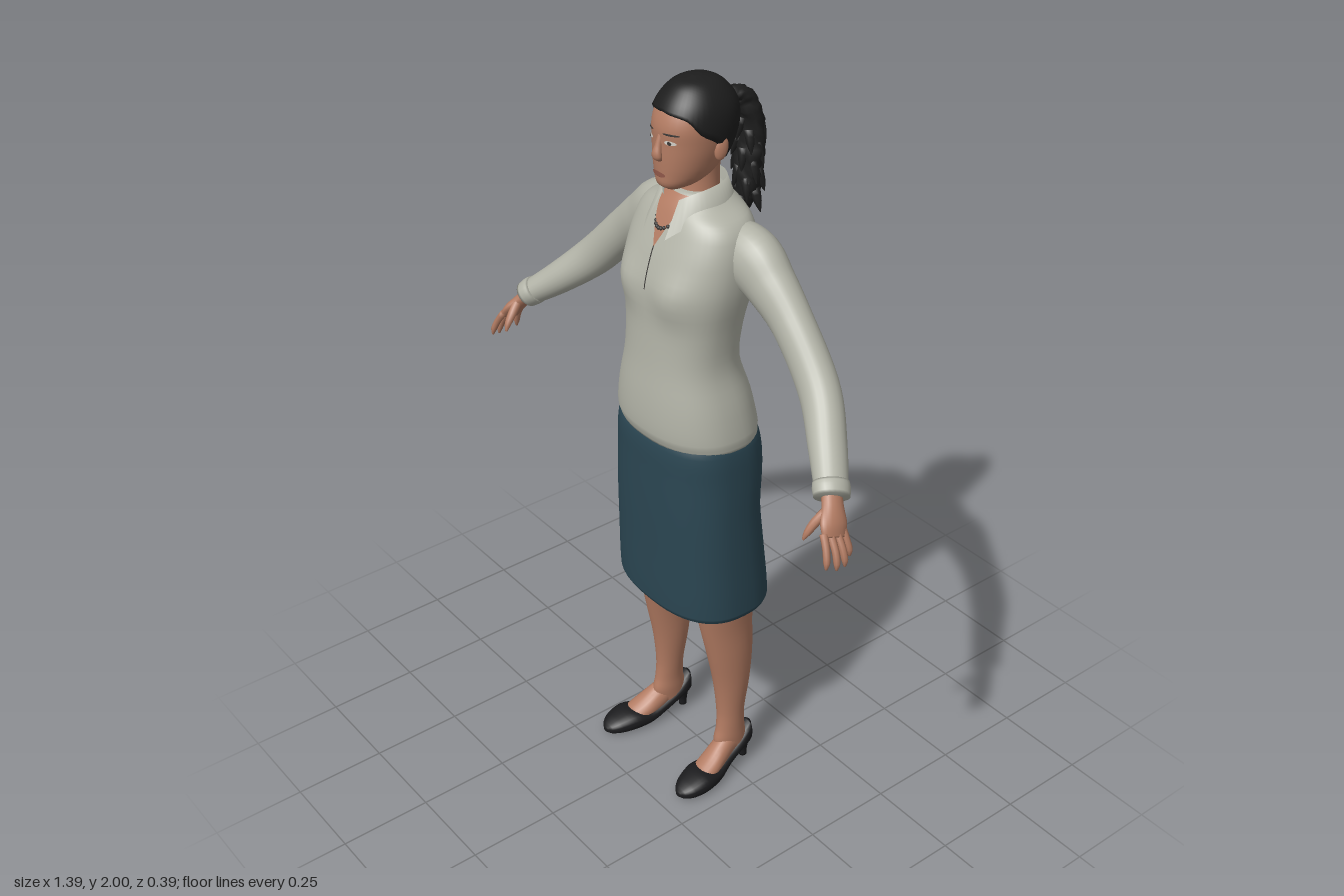
import * as THREE from 'three';

const mat = (name, color, side = THREE.FrontSide) => {
  const m = new THREE.MeshStandardMaterial({ color, side });
  m.name = name;
  return m;
};

// Smooth lookup in a table whose first column is an ascending key
function at(rows, k) {
  let i = 0;
  while (i < rows.length - 2 && k > rows[i + 1][0]) i++;
  const a = rows[i], b = rows[i + 1], h = b[0] - a[0], t = (k - a[0]) / h;
  const p = rows[Math.max(i - 1, 0)], q = rows[Math.min(i + 2, rows.length - 1)];
  return a.map((v, c) => {
    if (!c) return k;
    const m0 = (b[c] - p[c]) / (b[0] - p[0]) * h, m1 = (q[c] - v) / (q[0] - a[0]) * h;
    const t2 = t * t, t3 = t2 * t;
    return (2 * t3 - 3 * t2 + 1) * v + (t3 - 2 * t2 + t) * m0 + (3 * t2 - 2 * t3) * b[c] + (t3 - t2) * m1;
  });
}

// Skin over closed rings of points, turned to face outward
function loft(rings, capped = true) {
  const n = rings[0].length, pts = rings.flat(), idx = [];
  for (let r = 0; r < rings.length - 1; r++) for (let i = 0; i < n; i++) {
    const a = r * n + i, b = r * n + (i + 1) % n;
    idx.push(a, b, a + n, b, b + n, a + n);
  }
  const mid = (list) => list.reduce((s, p) => s.add(p), new THREE.Vector3()).divideScalar(list.length);
  const centre = mid(pts);
  if (capped) [0, rings.length - 1].forEach((r) => {
    const c = pts.push(mid(rings[r])) - 1;
    for (let i = 0; i < n; i++) {
      const a = r * n + i, b = r * n + (i + 1) % n;
      r ? idx.push(a, b, c) : idx.push(b, a, c);
    }
  });
  let volume = 0;
  for (let i = 0; i < idx.length; i += 3) {
    const [a, b, c] = [0, 1, 2].map((j) => pts[idx[i + j]].clone().sub(centre));
    volume += a.dot(b.cross(c));
  }
  if (volume < 0) idx.reverse();
  const g = new THREE.BufferGeometry().setFromPoints(pts);
  g.setIndex(idx);
  g.computeVertexNormals();
  return g;
}

// Point on a superellipse section [key, centreX, halfWidth, front, back]
function onSection([k, cx, rx, f, b], angle, n, grow = 0) {
  const pw = (v) => Math.sign(v) * Math.abs(v) ** (2 / n);
  return new THREE.Vector3(cx + (rx + grow) * pw(Math.sin(angle)), k,
    (f + b) / 2 + ((f - b) / 2 + grow) * pw(Math.cos(angle)));
}

// Stack of sections along y, or along z when lying
function body(rows, { n = 2, seg = 36, sub = 4, capped = true, lying = false } = {}) {
  const rings = [];
  for (let i = 0; i < (rows.length - 1) * sub + 1; i++) {
    const r = Math.min(Math.floor(i / sub), rows.length - 2), t = i / sub - r;
    const s = at(rows, rows[r][0] + (rows[r + 1][0] - rows[r][0]) * t);
    rings.push(Array.from({ length: seg }, (_, j) => {
      const p = onSection(s, j / seg * Math.PI * 2, n);
      return lying ? new THREE.Vector3(p.x, p.z, p.y) : p;
    }));
  }
  return loft(rings, capped);
}

// Tapered tube through [x, y, z, radius along ref, radius across]
function limb(pts, { seg = 16, steps = 24, ref = [0, 0, 1], rough = () => 1 } = {}) {
  const curve = new THREE.CatmullRomCurve3(pts.map((p) => new THREE.Vector3(p[0], p[1], p[2])));
  const radii = pts.map((p, i) => [i, p[3], p[4] ?? p[3]]), rings = [];
  for (let i = 0; i <= steps; i++) {
    const t = i / steps, c = curve.getPoint(t), T = curve.getTangent(t);
    const B = new THREE.Vector3(...ref).addScaledVector(T, -T.dot(new THREE.Vector3(...ref))).normalize();
    const N = T.clone().cross(B), [, ra, rb] = at(radii, t * (pts.length - 1));
    rings.push(Array.from({ length: seg }, (_, j) => {
      const a = j / seg * Math.PI * 2, k = rough(i, j);
      return c.clone().addScaledVector(B, ra * k * Math.cos(a)).addScaledVector(N, rb * k * Math.sin(a));
    }));
  }
  return loft(rings);
}

// Thin plate lying on the front of a body; half(v) gives its half width
function plate(rows, n, cx, y0, y1, half, lift = 0.003) {
  const g = new THREE.PlaneGeometry(1, 1, 12, 16), p = g.attributes.position;
  for (let i = 0; i < p.count; i++) {
    const v = p.getY(i) + 0.5, y = y0 + (y1 - y0) * v, x = cx + 2 * p.getX(i) * half(v);
    const [, , rx, f, b] = at(rows, y);
    p.setXYZ(i, x, y, (f + b) / 2 + (f - b) / 2 * Math.max(0, 1 - Math.abs(x / rx) ** n) ** (1 / n) + lift);
  }
  g.computeVertexNormals();
  return g;
}

const TORSO = [[1.09, 0, .197, .168, -.115], [1.12, 0, .198, .177, -.115], [1.2, 0, .183, .176, -.1],
  [1.3, 0, .157, .166, -.072], [1.4, 0, .16, .16, -.08], [1.5, 0, .176, .157, -.103], [1.58, 0, .178, .137, -.112],
  [1.64, 0, .168, .112, -.108], [1.675, 0, .145, .095, -.1], [1.7, 0, .1, .08, -.088], [1.73, 0, .06, .055, -.06]];
const SKIRT = [[.575, 0, .214, .16, -.138], [.59, 0, .219, .167, -.144], [.75, 0, .215, .17, -.127],
  [.88, 0, .21, .172, -.115], [1, 0, .205, .172, -.124], [1.08, 0, .199, .17, -.116], [1.12, 0, .185, .155, -.1]];
const HEAD = [[1.742, 0, .02, .09, .04], [1.755, 0, .042, .108, 0], [1.78, 0, .061, .111, -.04],
  [1.82, 0, .075, .112, -.07], [1.86, 0, .083, .111, -.088], [1.9, 0, .086, .11, -.095], [1.94, 0, .079, .094, -.089],
  [1.97, 0, .059, .068, -.066], [1.988, 0, .034, .04, -.038], [1.995, 0, .003, .005, -.002]];

export function createModel() {
  const model = new THREE.Group();
  const skin = mat('skin', 0xb27b62), knit = mat('knit', 0xb2b3a7, THREE.DoubleSide);
  const blue = mat('skirtBlue', 0x2b4652, THREE.DoubleSide), hair = mat('hairBlack', 0x1d1d1d);
  const black = mat('shoeBlack', 0x1b1b1d), lip = mat('lip', 0x935a4b), white = mat('eyeWhite', 0xd8d4cc);
  const dark = mat('darkDetail', 0x3a3836);
  const add = (name, geometry, material) => {
    const m = new THREE.Mesh(geometry, material);
    m.name = name;
    model.add(m);
    return m;
  };

  // Sweater with a gentle bust
  const torso = body(TORSO, { n: 2.3, seg: 48 }), tp = torso.attributes.position;
  for (let i = 0; i < tp.count; i++) {
    const x = Math.abs(tp.getX(i)) - .085, y = tp.getY(i) - 1.5;
    if (tp.getZ(i) > .03) tp.setZ(i, tp.getZ(i) + .016 * Math.exp(-(x * x + y * y) / .003));
  }
  torso.computeVertexNormals();
  add('sweater', torso, knit);
  add('neckOpening', plate(TORSO, 2.3, 0, 1.605, 1.725, (v) => .001 + .05 * v), skin);
  add('placket', plate(TORSO, 2.3, 0, 1.5, 1.607, () => .0018), dark);

  // Folded collar: inner base, top fold, outer edge
  const collar = new THREE.PlaneGeometry(1, 1, 40, 2), cp = collar.attributes.position;
  for (let i = 0; i < cp.count; i++) {
    const a = cp.getX(i) * 5.5, row = Math.floor(i / 41), w = Math.abs(cp.getX(i) * 2) ** 4;
    const r = [.064, .074, .093][row], y = [1.7, 1.755 - .035 * w, 1.7 - .065 * w][row];
    cp.setXYZ(i, Math.sin(a) * r * (1 + .15 * w), y, .004 - Math.cos(a) * r * (1 + [.12, .1, .45][row] * w));
  }
  collar.computeVertexNormals();
  add('collar', collar, knit);

  // Necklace
  for (let i = -5; i <= 5; i++) {
    const bead = add('necklaceBead', new THREE.SphereGeometry(.005, 8, 6), dark);
    bead.position.set(i * .0075, 1.648 + .0009 * i * i, .115 - .0012 * i * i);
  }

  // Skirt, neck and head
  add('skirt', body(SKIRT, { n: 2.5, seg: 48, capped: false }), blue);
  add('neck', body([[1.66, 0, .058, .07, -.06], [1.72, 0, .052, .05, -.056], [1.77, 0, .05, .045, -.055],
    [1.83, 0, .055, .05, -.06]]), skin);
  add('head', body(HEAD, { n: 2.15 }), skin);

  // Hair cap drawn down to the hairline
  const line = [[0, 1.932], [.8, 1.92], [1.2, 1.885], [1.6, 1.858], [2, 1.81], [2.5, 1.785], [3.15, 1.78]];
  add('hairCap', loft(Array.from({ length: 20 }, (_, i) => Array.from({ length: 48 }, (_, j) => {
    const a = j / 48 * Math.PI * 2, low = at(line, Math.min(a, Math.PI * 2 - a))[1];
    const y = low + (1.995 - low) * Math.sin(i / 19 * Math.PI / 2);
    const p = onSection(at(HEAD, y), a, 2.15, i ? .007 : -.002);
    p.y += .005 * Math.max(0, (y - 1.94) / .055);
    return p;
  }))), hair);

  // Ponytail with ragged locks
  let seed = 7;
  const rnd = () => (seed = seed * 16807 % 2147483647) / 2147483647;
  add('ponytail', limb([[0, 1.91, -.085, .02], [0, 1.925, -.12, .024, .02], [0, 1.88, -.153, .036, .03],
    [0, 1.8, -.16, .042, .03], [0, 1.72, -.152, .04, .028], [0, 1.66, -.15, .03, .022], [0, 1.62, -.155, .008]],
  { steps: 30, ref: [1, 0, 0], rough: () => .85 + .3 * rnd() }), hair);
  for (let i = 0; i < 22; i++) {
    const a = i * 2.4, y = 1.86 - i * .0095, x = Math.sin(a) * .036, z = -.155 + Math.cos(a) * .022;
    add('lock', limb([[x * .7, y, z, .014], [x * 1.05, y - .03, z + Math.cos(a) * .008, .01],
      [x * 1.35, y - .055, z + Math.cos(a) * .014, .001]], { seg: 6, steps: 4, ref: [1, 0, 0] }), hair);
  }

  // Face
  add('nose', limb([[0, 1.885, .103, .007], [0, 1.855, .112, .009], [0, 1.832, .117, .014, .011],
    [0, 1.821, .109, .011, .007]], { ref: [1, 0, 0], steps: 12 }), skin);
  const oval = (w) => (v) => w * Math.sqrt(Math.max(0, 1 - (2 * v - 1) ** 2));
  add('lips', plate(HEAD, 2.15, 0, 1.779, 1.793, oval(.023), .004), lip);
  for (const s of [1, -1]) {
    const side = s > 0 ? 'left' : 'right';
    add(side + 'Eye', plate(HEAD, 2.15, s * .035, 1.864, 1.875, oval(.014)), white);
    add(side + 'Iris', plate(HEAD, 2.15, s * .035, 1.865, 1.874, oval(.005), .005), dark);
    add(side + 'Brow', plate(HEAD, 2.15, s * .036, 1.887, 1.892, oval(.02)), dark);
    const ear = add(side + 'Ear', new THREE.SphereGeometry(1, 14, 10), skin);
    ear.scale.set(.009, .03, .017);
    ear.position.set(s * .083, 1.845, -.005);
    ear.rotation.set(-.2, s * -.3, 0);

    // Sleeve and cuff
    const arm = (pts, o) => limb(pts.map(([x, ...r]) => [x * s, ...r]), o);
    add(side + 'Sleeve', arm([[.08, 1.6, -.025, .06, .07], [.17, 1.585, -.033, .066, .083], [.24, 1.543, -.033, .058, .068],
      [.32, 1.48, -.03, .05, .056], [.44, 1.36, -.012, .049, .053], [.53, 1.275, .04, .046, .044],
      [.605, 1.212, .092, .04, .034]], { seg: 24, steps: 40 }), knit);
    add(side + 'Cuff', arm([[.588, 1.228, .08, .044, .037], [.598, 1.219, .087, .046, .039],
      [.612, 1.206, .097, .044, .036]], { seg: 24, steps: 6 }), knit);

    // Hand
    add(side + 'Palm', arm([[.59, 1.225, .082, .025, .02], [.622, 1.19, .103, .028, .018], [.645, 1.16, .119, .036, .016],
      [.658, 1.135, .128, .033, .011]]), skin);
    for (let f = 0; f < 4; f++) {
      const e = [.012, 0, 0, .008][f];
      add(side + 'Finger', arm([[.65, 1.15, .099 + f * .018, .01], [.677 - e, 1.112 + e, .098 + f * .021, .009],
        [.688 - e, 1.085 + e, .096 + f * .024, .008], [.69 - e, 1.069 + e, .096 + f * .025, .003]],
      { seg: 8, steps: 9 }), skin);
    }
    add(side + 'Thumb', arm([[.625, 1.19, .118, .013], [.615, 1.162, .147, .012], [.61, 1.138, .166, .009],
      [.606, 1.12, .175, .003]], { seg: 8, steps: 9 }), skin);

    // Leg and foot
    const mirror = (rows) => rows.map(([k, c, ...r]) => [k, c * s, ...r]);
    add(side + 'Leg', body(mirror([[.05, .138, .028, .035, -.06], [.1, .138, .031, .045, -.058], [.14, .138, .031, .036, -.052],
      [.2, .136, .034, .032, -.052], [.3, .134, .043, .042, -.068], [.4, .133, .048, .062, -.076],
      [.5, .129, .052, .083, -.077], [.6, .124, .063, .102, -.08], [.8, .105, .085, .13, -.09]]), { seg: 24 }), skin);
    add(side + 'Foot', body(mirror([[-.06, .138, .022, .1, .06], [0, .141, .029, .125, .04], [.04, .147, .034, .105, .02],
      [.08, .154, .038, .076, .012], [.12, .16, .036, .054, .01]]), { seg: 20, lying: true }), skin);

    // Pump: low upper, raised arch and slim heel
    add(side + 'Shoe', body(mirror([[-.077, .137, .012, .118, .07], [-.068, .137, .027, .12, .055], [-.03, .139, .035, .092, .046],
      [.02, .144, .038, .066, .024], [.07, .154, .046, .05, .004], [.12, .162, .05, .056, 0], [.165, .167, .04, .045, .001],
      [.19, .168, .024, .032, .005], [.2, .168, .008, .022, .01]]), { n: 2.5, seg: 24, lying: true }), black);
    add(side + 'Heel', body(mirror([[0, .137, .011, -.045, -.068], [.025, .137, .012, -.042, -.069],
      [.07, .137, .024, -.02, -.075]]), { seg: 16 }), black);
  }
  return model;
}
